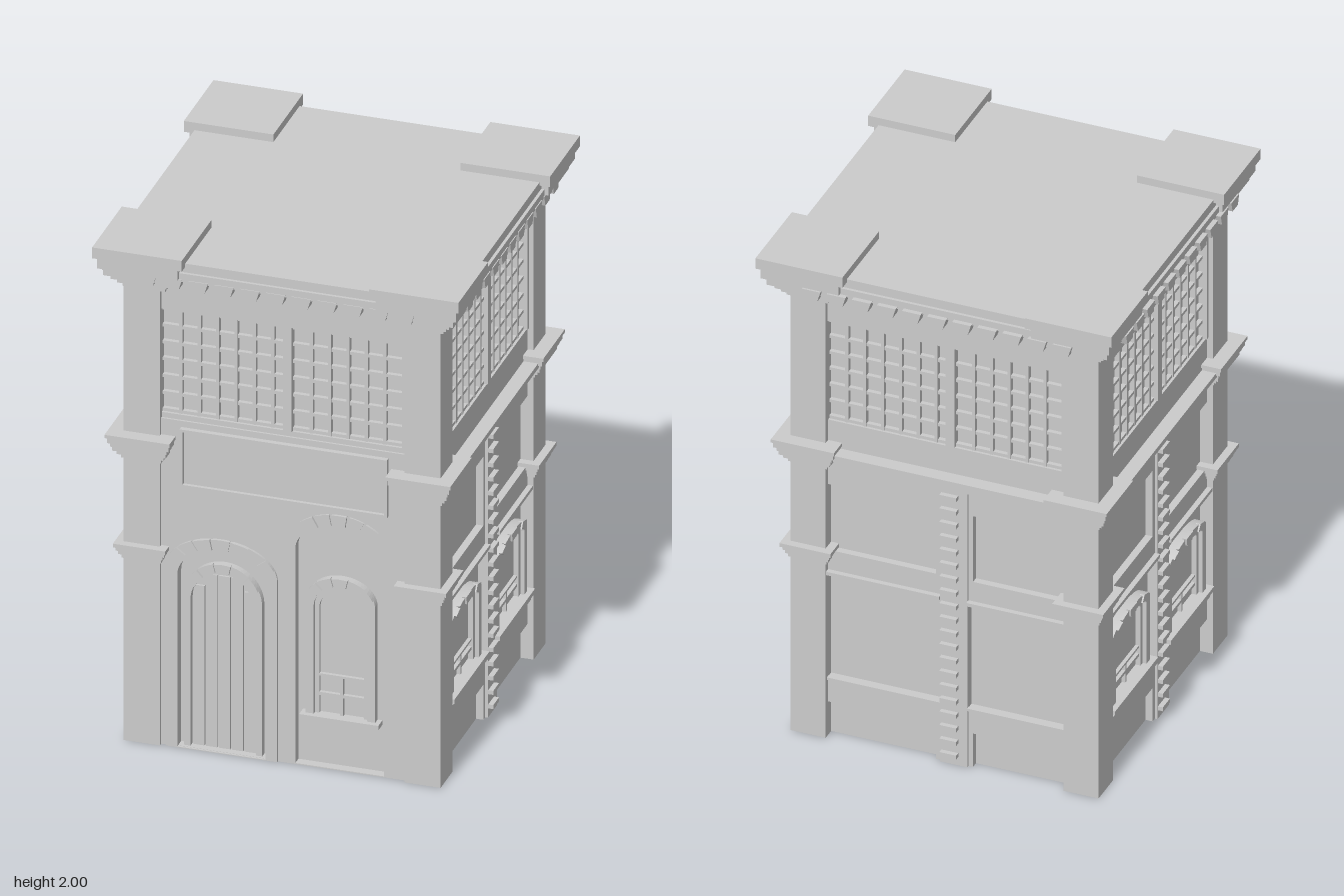
import * as THREE from 'three';

const mat = new THREE.MeshStandardMaterial({ color: 0xcccccc, flatShading: true });
const H = 0.5925; // pillar face, from the shaft centre
const G = 0.5425; // recessed wall face
const P = 0.575;  // raised wall face

function add(parent, name, geometry) {
  const m = new THREE.Mesh(geometry, mat);
  m.name = name;
  parent.add(m);
  return m;
}

// box given by its limits
function box(parent, name, x0, x1, y0, y1, z0, z1) {
  const m = add(parent, name, new THREE.BoxGeometry(x1 - x0, y1 - y0, z1 - z0));
  m.position.set((x0 + x1) / 2, (y0 + y1) / 2, (z0 + z1) / 2);
  return m;
}

function extrude(parent, name, shape, z0, z1) {
  const m = add(parent, name, new THREE.ExtrudeGeometry(shape, { depth: z1 - z0, bevelEnabled: false, curveSegments: 16 }));
  m.position.z = z0;
  return m;
}

// outline of an arched opening
function arch(Type, cx, hw, y0, spring, top) {
  const s = new Type();
  s.moveTo(cx - hw, y0);
  s.lineTo(cx + hw, y0);
  s.lineTo(cx + hw, spring);
  s.absellipse(cx, spring, hw, top - spring, 0, Math.PI, false);
  s.lineTo(cx - hw, y0);
  return s;
}

function archFrame(parent, name, cx, outer, inner, y0, z0, z1) {
  const s = arch(THREE.Shape, cx, outer[0], y0, outer[1], outer[2]);
  s.holes.push(arch(THREE.Path, cx, inner[0], y0 + 0.003, inner[1], inner[2]));
  extrude(parent, name, s, z0, z1);
}

// ring of wedge stones over an arch
function voussoirs(parent, cx, hw, spring, top, thick, n, z0, z1, a0 = 0.12, a1 = Math.PI - 0.12) {
  const step = (a1 - a0) / n;
  for (let i = 0; i < n; i++) {
    const s = new THREE.Shape();
    const from = a0 + i * step + 0.025, to = a0 + (i + 1) * step - 0.025;
    const pts = [];
    for (let k = 0; k <= 4; k++) {
      const a = from + (to - from) * k / 4;
      pts.push(new THREE.Vector2(cx + hw * Math.cos(a), spring + (top - spring) * Math.sin(a)));
    }
    for (let k = 4; k >= 0; k--) {
      const a = from + (to - from) * k / 4;
      pts.push(new THREE.Vector2(cx + (hw - thick) * Math.cos(a), spring + (top - spring - thick) * Math.sin(a)));
    }
    s.setFromPoints(pts);
    extrude(parent, 'archStone', s, z0, z1 + (i % 2 ? 0 : 0.004));
  }
}

// lower sash with a cross rail and a middle bar
function sash(parent, cx, hw, y0, yMid, yTop) {
  box(parent, 'sashRail', cx - hw, cx + hw, yMid - 0.006, yMid + 0.006, G, G + 0.014);
  box(parent, 'sashTopRail', cx - hw, cx + hw, yTop - 0.005, yTop + 0.003, G, G + 0.014);
  box(parent, 'sashBar', cx - 0.006, cx + 0.006, y0, yTop, G, G + 0.014);
}

// upper storey: gridded windows, wall bands and cornice teeth
function upperStorey(f) {
  box(f, 'upperBand', -0.46, 0.46, 1.2, 1.32, G - 0.01, P - 0.005);
  box(f, 'upperHead', -0.46, 0.46, 1.735, 1.9, G - 0.01, P);
  box(f, 'centreMullion', -0.003, 0.03, 1.32, 1.735, G - 0.01, P);
  box(f, 'endMullion', 0.4425, 0.46, 1.32, 1.735, G - 0.01, P);
  for (const [a, b] of [[-0.4575, -0.003], [0.03, 0.4425]]) {
    const pitch = 0.0687;
    for (let u = a + pitch; u < b - 0.01; u += pitch)
      box(f, 'windowBar', u - 0.006, u + 0.006, 1.32, 1.735, G, G + 0.02);
    for (let k = 0; k <= 6; k++) {
      const y = 1.326 + k * 0.0672;
      box(f, 'windowRail', a, b, y - 0.006, y + 0.006, G, G + 0.017);
    }
  }
  box(f, 'friezeMoulding', -0.43, 0.43, 1.845, 1.862, P, 0.61);
  box(f, 'friezeBed', -0.46, 0.46, 1.862, 1.905, P, 0.625);
  for (let k = -5; k <= 5; k++) {
    const c = k * 0.0965, s = new THREE.Shape();
    s.moveTo(c - 0.024, 1.87);
    s.lineTo(c + 0.024, 1.87);
    s.lineTo(c + 0.036, 1.91);
    s.lineTo(c - 0.036, 1.91);
    extrude(f, 'corniceTooth', s, 0.6, 0.668);
  }
}

// panelled lower storeys with the toothed middle strip
function panelledWall(f, windows) {
  for (const [y0, y1] of [[0.14, 0.245], [0.685, 0.775], [1.05, 1.2]])
    box(f, 'wallRail', -0.46, 0.46, y0, y1, G - 0.01, P - 0.005);
  for (const [a, b] of [[-0.0425, -0.02], [0.08, 0.1]])
    for (const [y0, y1] of [[0, 0.14], [0.775, 1.05]])
      box(f, 'panelStile', a, b, y0, y1, G - 0.01, P - 0.005);
  box(f, 'middleStrip', -0.022, 0.0825, 0, 1.15, G - 0.01, 0.58);
  for (let k = 0; k < 20; k++) {
    const y = 0.035 + k * 0.0567;
    box(f, 'stripTooth', -0.0175, 0.0475, y, y + 0.016, 0.57, 0.599);
  }
  for (const [a, b] of [[-0.46, -0.022], [0.0825, 0.46]]) {
    box(f, 'beltMoulding', a, b, 0.68, 0.694, P - 0.01, 0.59);
    box(f, 'plinthMoulding', a, b, 0.237, 0.247, P - 0.01, 0.582);
  }
  box(f, 'ledgeLower', -0.46, 0.46, 1.15, 1.17, G, 0.59);
  box(f, 'ledgeMiddle', -0.46, 0.46, 1.17, 1.19, G, 0.605);
  box(f, 'ledgeTop', -0.46, 0.46, 1.19, 1.21, G, 0.625);
  if (!windows) return;
  for (const c of [-0.2545, 0.2595]) {
    archFrame(f, 'windowSurround', c, [0.172, 0.555, 0.605], [0.14, 0.54, 0.58], 0.28, G - 0.01, 0.577);
    archFrame(f, 'windowFrame', c, [0.142, 0.54, 0.582], [0.12, 0.53, 0.567], 0.28, G - 0.01, 0.562);
    voussoirs(f, c, 0.172, 0.555, 0.609, 0.03, 5, 0.57, 0.583, 0.6, Math.PI - 0.6);
    box(f, 'windowSill', c - 0.198, c + 0.198, 0.268, 0.285, G, 0.598);
    sash(f, c, 0.12, 0.28, 0.33, 0.365);
  }
}

// entrance wall with door arch, window niche and sign board
function entranceWall(f) {
  const d = -0.229, w = 0.2105;
  const s = new THREE.Shape();
  s.moveTo(-0.46, 0);
  s.lineTo(0.46, 0);
  s.lineTo(0.46, 1.3);
  s.lineTo(-0.46, 1.3);
  s.holes.push(arch(THREE.Path, d, 0.165, 0.004, 0.69, 0.806));
  s.holes.push(arch(THREE.Path, w, 0.166, 0.004, 0.86, 0.97));
  extrude(f, 'entranceWall', s, G - 0.01, 0.578);

  archFrame(f, 'doorSurround', d, [0.208, 0.72, 0.85], [0.165, 0.69, 0.806], 0, 0.57, 0.586);
  voussoirs(f, d, 0.208, 0.72, 0.853, 0.042, 7, 0.58, 0.591, 0.3, Math.PI - 0.3);
  archFrame(f, 'doorFrame', d, [0.146, 0.6, 0.745], [0.122, 0.59, 0.705], 0, G - 0.01, 0.567);
  voussoirs(f, d, 0.146, 0.6, 0.748, 0.034, 5, 0.56, 0.573, 0.4, Math.PI - 0.4);
  for (let k = 0; k < 5; k++) {
    const x = d + (k - 2) * 0.048;
    box(f, 'doorPlank', x - 0.021, x + 0.021, 0, k === 0 || k === 4 ? 0.64 : 0.69, G - 0.01, G + 0.008);
  }

  voussoirs(f, w, 0.205, 0.86, 1.02, 0.045, 5, 0.57, 0.584, 0.75, Math.PI - 0.75);
  archFrame(f, 'nicheWindowSurround', w, [0.13, 0.66, 0.76], [0.1, 0.64, 0.72], 0.2, G - 0.01, 0.57);
  archFrame(f, 'nicheWindowFrame', w, [0.102, 0.64, 0.722], [0.083, 0.63, 0.7], 0.2, G - 0.01, 0.557);
  voussoirs(f, w, 0.13, 0.66, 0.763, 0.035, 5, 0.56, 0.577, 0.3, Math.PI - 0.3);
  box(f, 'nicheSill', w - 0.148, w + 0.148, 0.19, 0.208, G, 0.59);
  sash(f, w, 0.085, 0.2, 0.285, 0.362);

  box(f, 'signBoard', -0.37, 0.38, 1.055, 1.265, 0.57, 0.584);
  for (const y of [1.045, 1.265]) box(f, 'signFrame', -0.382, 0.393, y, y + 0.011, 0.57, 0.598);
  for (const x of [-0.382, 0.382]) box(f, 'signFrame', x, x + 0.011, 1.045, 1.276, 0.57, 0.598);
}

export function createModel() {
  const root = new THREE.Group();
  root.name = 'building';
  const shaft = new THREE.Group();
  shaft.name = 'shaft';
  shaft.position.set(-0.0075, 0, -0.0075);
  root.add(shaft);

  box(shaft, 'core', -G, G, 0, 1.92, -G, G);
  ['front', 'right', 'back', 'left'].forEach((side, i) => {
    const f = new THREE.Group();
    f.name = side + 'Wall';
    f.rotation.y = i * Math.PI / 2;
    shaft.add(f);
    upperStorey(f);
    if (i === 0) entranceWall(f);
    else panelledWall(f, i !== 2);
  });

  // corner pillars with two stepped capitals each: [half width, bottom, top]
  const capitals = [
    [0.075, 1.13, 1.148], [0.088, 1.148, 1.165], [0.1, 1.165, 1.183],
    [0.106, 1.183, 1.2], [0.115, 1.2, 1.222], [0.1215, 1.222, 1.235],
    [0.074, 0.73, 0.747], [0.083, 0.747, 0.763], [0.09, 0.763, 0.778], [0.098, 0.778, 0.793]];
  // stepped corner crowns: [inner limit, outer limit, bottom, top]
  const crowns = [
    [0.44, 0.6, 1.82, 1.838], [0.43, 0.615, 1.838, 1.858], [0.415, 0.633, 1.858, 1.88],
    [0.39, 0.655, 1.88, 1.912], [0.37, 0.671, 1.912, 1.957], [0.35, 0.685, 1.957, 2]];
  for (const sx of [-1, 1]) for (const sz of [-1, 1]) {
    const c = H - 0.0675;
    const block = (parent, name, mid, h, y0, y1) =>
      box(parent, name, sx * mid - h, sx * mid + h, y0, y1, sz * mid - h, sz * mid + h);
    block(shaft, 'pillar', c, 0.0675, 0, 1.86);
    for (const [h, y0, y1] of capitals) block(shaft, 'capital', c, h, y0, y1);
    for (const [a, b, y0, y1] of crowns) block(root, 'cornerCrown', (a + b) / 2, (b - a) / 2, y0, y1);
  }

  // roof slab and cornice
  box(root, 'corniceSlab', -0.657, 0.657, 1.902, 1.935, -0.657, 0.657);
  box(root, 'roofSlab', -0.645, 0.645, 1.935, 1.97, -0.645, 0.645);
  return root;
}
